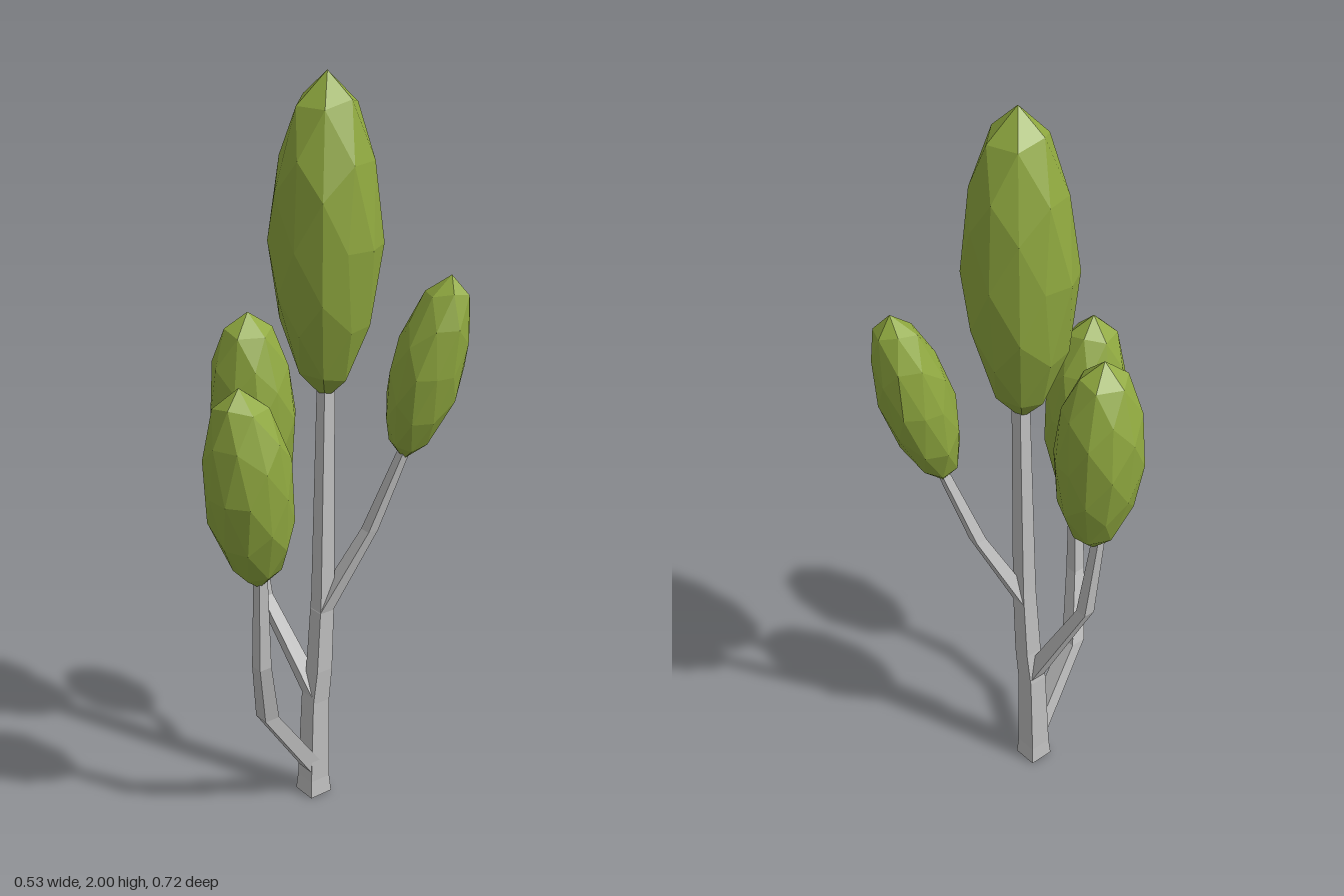
import * as THREE from 'three';

const bark = new THREE.MeshStandardMaterial({ color: 0xc0c0c0, flatShading: true });
bark.name = 'pale grey bark';
const leaf = new THREE.MeshStandardMaterial({ color: 0x8fa83f, flatShading: true });
leaf.name = 'leaf green';

// Four-sided limb through stations [x, y, z, halfWidth], from the bottom up
function limb(name, stations) {
  const last = stations.length - 1;
  const geo = new THREE.CylinderGeometry(Math.SQRT2, Math.SQRT2, 1, 4, last).rotateY(Math.PI / 4);
  const pos = geo.attributes.position;
  for (let i = 0; i < pos.count; i++) {
    const [x, y, z, w] = stations[Math.round((pos.getY(i) + 0.5) * last)];
    pos.setXYZ(i, x + pos.getX(i) * w, y, z + pos.getZ(i) * w);
  }
  geo.computeVertexNormals();
  const mesh = new THREE.Mesh(geo, bark);
  mesh.name = name;
  return mesh;
}

// Long faceted crown between two heights, leaning by a shear and slightly uneven
function crown(name, [x, z], radius, bottom, top, [leanX, leanZ], turn) {
  const geo = new THREE.IcosahedronGeometry(1, 1);
  const pos = geo.attributes.position;
  const v = new THREE.Vector3();
  const c = Math.cos(turn), s = Math.sin(turn);
  for (let i = 0; i < pos.count; i++) {
    v.fromBufferAttribute(pos, i);
    const wobble = 1.01 + 0.04 * Math.sin(v.x * 5.3 + v.y * 7.1 + v.z * 9.7 + turn * 4);
    const taper = v.y < -0.4 ? 1 + (v.y + 0.4) * 0.25 : 1;
    const r = radius * wobble * taper;
    pos.setXYZ(i,
      x + (v.x * c + v.z * s) * r + leanX * v.y,
      (bottom + top) / 2 + v.y * (top - bottom) / 2,
      z + (v.z * c - v.x * s) * r + leanZ * v.y);
  }
  geo.computeVertexNormals();
  const mesh = new THREE.Mesh(geo, leaf);
  mesh.name = name;
  return mesh;
}

export function createModel() {
  const tree = new THREE.Group();
  tree.name = 'tree';

  // Trunk and its three bent branches
  tree.add(
    limb('trunk', [
      [0.008, 0, -0.028, 0.035], [0.008, 0.05, -0.028, 0.031], [0.012, 0.3, -0.03, 0.027],
      [0.022, 0.4, -0.035, 0.025], [0.026, 0.62, -0.043, 0.022], [0.028, 1.25, -0.048, 0.016],
    ]),
    limb('frontBranch', [
      [0.01, 0.08, -0.025, 0.026], [0.035, 0.32, 0.148, 0.022],
      [0.092, 0.52, 0.205, 0.018], [0.112, 0.84, 0.22, 0.012],
    ]),
    limb('leftBranch', [
      [0.012, 0.31, -0.03, 0.024], [-0.125, 0.59, 0.042, 0.017], [-0.158, 0.9, 0.062, 0.011],
    ]),
    limb('backBranch', [
      [0.026, 0.58, -0.04, 0.022], [0.09, 0.81, -0.148, 0.016], [0.15, 1.08, -0.23, 0.011],
    ]),
  );

  // Crowns
  tree.add(
    crown('mainCrown', [0.031, -0.044], 0.137, 1.18, 2.0, [0.005, 0.003], 0.3),
    crown('leftCrown', [-0.155, 0.05], 0.113, 0.83, 1.385, [0, 0.012], 1.1),
    crown('frontCrown', [0.112, 0.25], 0.111, 0.76, 1.31, [0.005, 0.03], 2.0),
    crown('backCrown', [0.168, -0.262], 0.093, 1.01, 1.5, [0.03, -0.045], 2.7),
  );
  return tree;
}
